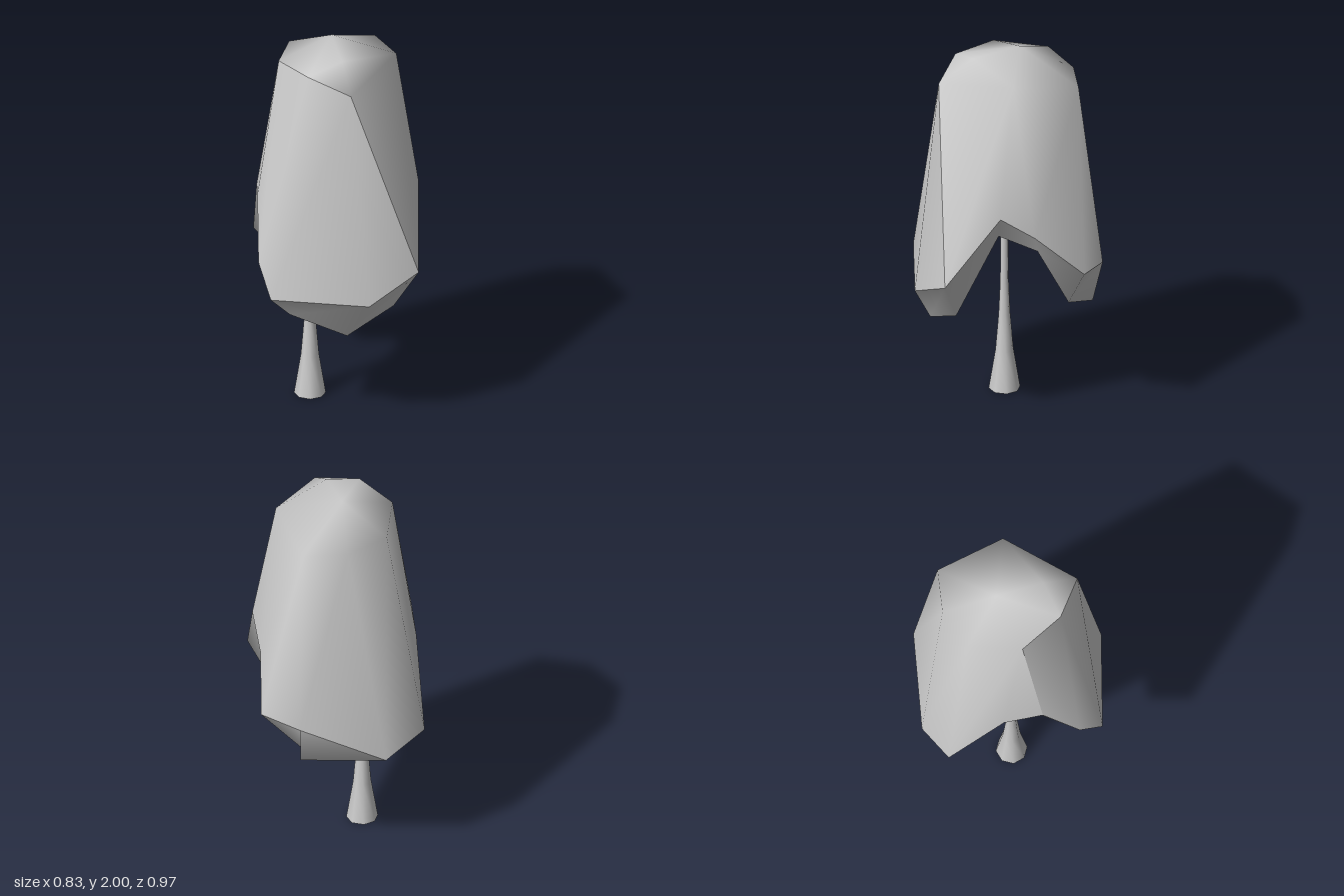
import * as THREE from 'three';
import { mergeVertices } from 'three/addons/utils/BufferGeometryUtils.js';

const material = () => new THREE.MeshStandardMaterial({ color: 0xcccccc, side: THREE.DoubleSide });

// Corner loops of the foliage, each running +x -> +z -> -x -> -z
const shoulder = [
  [0.3, 1.93, 0], [0.06, 1.86, 0.35], [0.06, 1.86, 0.35], [-0.155, 1.915, 0.235],
  [-0.3, 1.905, 0.02], [-0.3, 1.905, 0.02], [-0.3, 1.905, 0.02], [-0.24, 1.88, -0.255],
  [-0.03, 1.86, -0.355], [0.2, 1.86, -0.35], [0.2, 1.86, -0.35], [0.3, 1.93, 0],
];
const rim = [
  [0.412, 1.24, 0.08], [0.405, 0.865, 0.365], [0.15, 0.73, 0.485], [-0.35, 0.745, 0.425],
  [-0.41, 0.9, 0.3], [-0.41, 1.19, 0.11], [-0.41, 1.15, -0.09], [-0.42, 0.76, -0.375],
  [-0.21, 0.66, -0.485], [0.23, 0.87, -0.47], [0.415, 0.9, -0.35], [0.39, 1.11, -0.1],
];
const inner = [
  [0.34, 1.11, 0.08], [0.28, 0.64, 0.29], [0.04, 0.52, 0.39], [-0.25, 0.6, 0.3],
  [-0.3, 0.75, 0.235], [-0.36, 1.1, 0.08], [-0.36, 1.05, -0.08], [-0.33, 0.72, -0.24],
  [-0.18, 0.57, -0.3], [0.22, 0.65, -0.42], [0.19, 0.63, -0.3], [0.34, 1.01, -0.12],
];

// One face between two loops, from corner i to the next
function wall(upper, lower, i) {
  const j = (i + 1) % upper.length;
  return [upper[i], upper[j], lower[j], lower[i]];
}

// Mesh from polygons, each split as a fan
function faceMesh(name, polygons, smooth) {
  const points = [];
  for (const p of polygons) {
    for (let k = 1; k < p.length - 1; k++) {
      const corners = [p[0], p[k], p[k + 1]];
      if (new Set(corners.map(String)).size === 3) points.push(...corners.flat());
    }
  }
  let geometry = new THREE.BufferGeometry();
  geometry.setAttribute('position', new THREE.Float32BufferAttribute(points, 3));
  if (smooth) geometry = mergeVertices(geometry, 1e-4);
  geometry.computeVertexNormals();
  const mesh = new THREE.Mesh(geometry, material());
  mesh.name = name;
  return mesh;
}

function createFoliage() {
  const foliage = new THREE.Group();
  foliage.name = 'foliage';
  const columns = rim.map((_, i) => i);

  // Domed top: a peak and a second high point towards the front
  const peak = [-0.03, 2, -0.08];
  const brow = [0.02, 1.97, 0.17];
  const dome = [
    [brow, shoulder[1], shoulder[0]], [brow, shoulder[3], shoulder[1]],
    [brow, peak, shoulder[3]], [brow, shoulder[0], peak],
    ...columns.slice(3).map((i) => [peak, shoulder[(i + 1) % 12], shoulder[i]]),
  ];

  // Rounded sides and back, with a cut front face
  const isFront = (i) => i >= 1 && i <= 4;
  const sides = columns.filter((i) => !isFront(i)).map((i) => wall(shoulder, rim, i));
  foliage.add(faceMesh('crown', [...dome, ...sides], true));
  foliage.add(faceMesh('frontFace', columns.filter(isFront).map((i) => wall(shoulder, rim, i)), true));

  // Bevelled lower edge
  foliage.add(faceMesh('lowerBevel', columns.map((i) => wall(rim, inner, i)), true));

  // Arched hollow between the front and back lobes
  const hollow = [
    [1, 2, 3], [1, 3, 4], [0, 1, 4, 5], [0, 5, 6, 11], [11, 6, 7, 10], [10, 7, 8, 9],
  ].map((p) => p.map((i) => inner[i]));
  foliage.add(faceMesh('hollow', hollow, false));
  return foliage;
}

// Flared eight-sided trunk, open at the foot
function createTrunk() {
  const profile = [[0.081, 0], [0.046, 0.22], [0.03, 0.42], [0.022, 0.6], [0.017, 1.1]]
    .map(([r, y]) => new THREE.Vector2(r, y));
  const trunk = new THREE.Mesh(new THREE.LatheGeometry(profile, 8), material());
  trunk.name = 'trunk';
  trunk.position.set(-0.14, 0, -0.015);
  return trunk;
}

export function createModel() {
  const tree = new THREE.Group();
  tree.name = 'tree';
  tree.add(createFoliage(), createTrunk());
  return tree;
}
